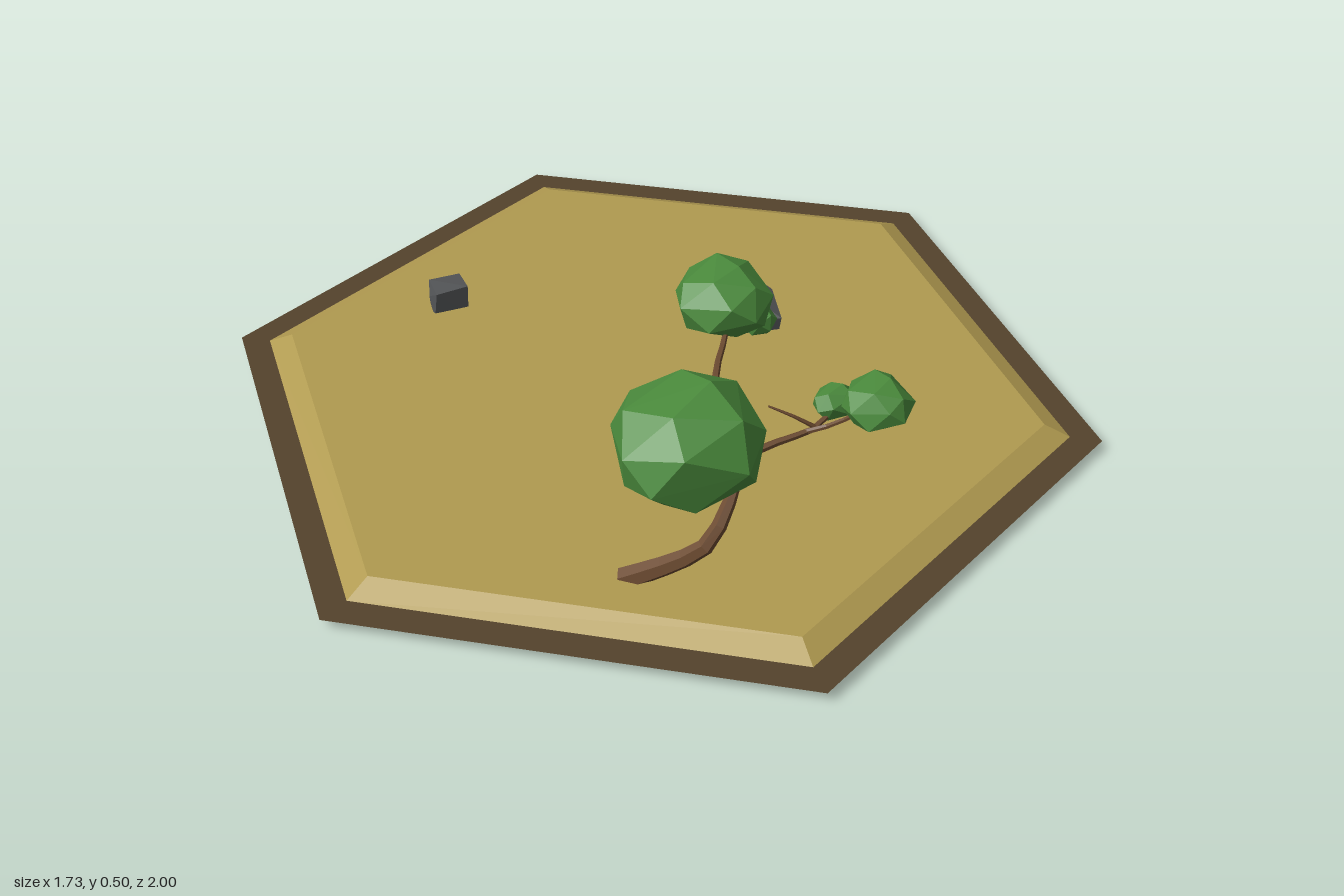
import * as THREE from 'three';
import { ConvexGeometry } from 'three/addons/geometries/ConvexGeometry.js';

const mat = (color, side = THREE.FrontSide) =>
  new THREE.MeshStandardMaterial({ color, flatShading: true, side });
const v = (p) => new THREE.Vector3(...p);

export function createModel() {
  const group = new THREE.Group();
  const earth = mat(0x54432c, THREE.DoubleSide);
  const sand = mat(0xb09a50);
  const bark = mat(0x6b4a30);
  const leaf = mat(0x4a8a3c);
  const stone = mat(0x505254);

  const add = (name, geometry, material, parent = group) => {
    const mesh = new THREE.Mesh(geometry, material);
    mesh.name = name;
    parent.add(mesh);
    return mesh;
  };

  // Thin hexagonal ground sheet with a bevelled sand slab on top
  const sheet = add('groundSheet', new THREE.CircleGeometry(1, 6, Math.PI / 2), earth);
  sheet.rotation.x = -Math.PI / 2;
  sheet.position.y = 0.025;
  const slab = add('sandSlab', new THREE.CylinderGeometry(0.872, 0.93, 0.026, 6), sand);
  slab.position.y = 0.039;

  // Tree: six-sided tubes that taper along their path
  const tree = new THREE.Group();
  tree.name = 'tree';
  group.add(tree);
  const limb = (name, points, r0, r1, segments = 6) => {
    const sides = 6;
    const curve = new THREE.CatmullRomCurve3(points.map(v));
    const geo = new THREE.TubeGeometry(curve, segments, 1, sides);
    const pos = geo.attributes.position;
    const p = new THREE.Vector3();
    for (let i = 0; i < pos.count; i++) {
      const t = Math.floor(i / (sides + 1)) / segments;
      const c = curve.getPointAt(t);
      p.fromBufferAttribute(pos, i).sub(c).multiplyScalar(r0 + (r1 - r0) * t).add(c);
      pos.setXYZ(i, p.x, p.y, p.z);
    }
    add(name, geo, bark, tree);
  };
  limb('trunk', [[-0.27, 0.04, 0.595], [-0.19, 0.1, 0.645], [-0.125, 0.155, 0.675],
    [-0.07, 0.22, 0.645], [-0.02, 0.29, 0.59]], 0.025, 0.01, 8);
  limb('crownBranch', [[-0.045, 0.255, 0.62], [-0.06, 0.31, 0.605], [-0.11, 0.36, 0.61]], 0.011, 0.007, 4);
  limb('backBranch', [[-0.02, 0.285, 0.59], [-0.03, 0.335, 0.51], [-0.02, 0.362, 0.43],
    [0.03, 0.377, 0.34], [0.07, 0.4, 0.27]], 0.01, 0.005, 8);
  limb('backTwig', [[0.04, 0.38, 0.32], [0.1, 0.36, 0.26], [0.15, 0.335, 0.23]], 0.005, 0.003, 4);
  limb('sideBranch', [[-0.025, 0.285, 0.592], [0.06, 0.294, 0.58], [0.14, 0.3, 0.57],
    [0.2, 0.32, 0.535]], 0.009, 0.005);
  limb('sideTwig', [[0.12, 0.298, 0.573], [0.165, 0.325, 0.6], [0.225, 0.41, 0.665]], 0.006, 0.004, 4);
  limb('bareTwig', [[0.14, 0.302, 0.57], [0.1, 0.33, 0.56], [0.05, 0.355, 0.54]], 0.005, 0.002, 4);

  // Leaf clumps: faceted hulls of jittered points spread over an ellipsoid
  let seed = 7;
  const rand = () => (seed = (seed * 16807) % 2147483647) / 2147483647;
  const clump = (center, size, n) => {
    const points = [];
    for (let i = 0; i < n; i++) {
      const y = 1 - (2 * (i + 0.5)) / n;
      const a = i * 2.39996 + (rand() - 0.5) * 0.4;
      const r = Math.sqrt(1 - y * y);
      points.push(new THREE.Vector3(Math.cos(a) * r, y, Math.sin(a) * r)
        .multiplyScalar(0.98 + rand() * 0.08).multiply(v(size)));
    }
    const mesh = add('leafClump', new ConvexGeometry(points), leaf, tree);
    mesh.position.set(...center);
  };
  clump([-0.145, 0.38, 0.62], [0.157, 0.122, 0.152], 24);
  clump([0.062, 0.425, 0.25], [0.105, 0.077, 0.107], 22);
  clump([0.223, 0.418, 0.67], [0.071, 0.052, 0.071], 20);
  clump([0.198, 0.323, 0.53], [0.049, 0.039, 0.042], 18);
  clump([0.148, 0.336, 0.228], [0.042, 0.034, 0.043], 18);

  // Rocks half sunk in the sand
  const rock = (name, points) => add(name, new ConvexGeometry(points.map(v)), stone);
  rock('largeRock', [
    [0.255, 0.14, -0.18], [0.355, 0.1, -0.185], [0.34, 0.085, -0.085], [0.235, 0.082, -0.1],
    [0.222, 0.085, -0.15], [0.285, 0, -0.125], [0.33, 0.04, -0.22], [0.245, 0.05, -0.225],
    [0.25, 0.11, -0.23], [0.33, 0.115, -0.215], [0.335, 0.035, -0.09], [0.222, 0.025, -0.105],
  ]);
  rock('smallRock', [
    [-0.415, 0.115, -0.465], [-0.34, 0.115, -0.468], [-0.333, 0.11, -0.415], [-0.41, 0.105, -0.41],
    [-0.422, 0.085, -0.44], [-0.332, 0.08, -0.45], [-0.415, 0.035, -0.465], [-0.338, 0.035, -0.465],
    [-0.335, 0.035, -0.415], [-0.418, 0.035, -0.412],
  ]);
  return group;
}
